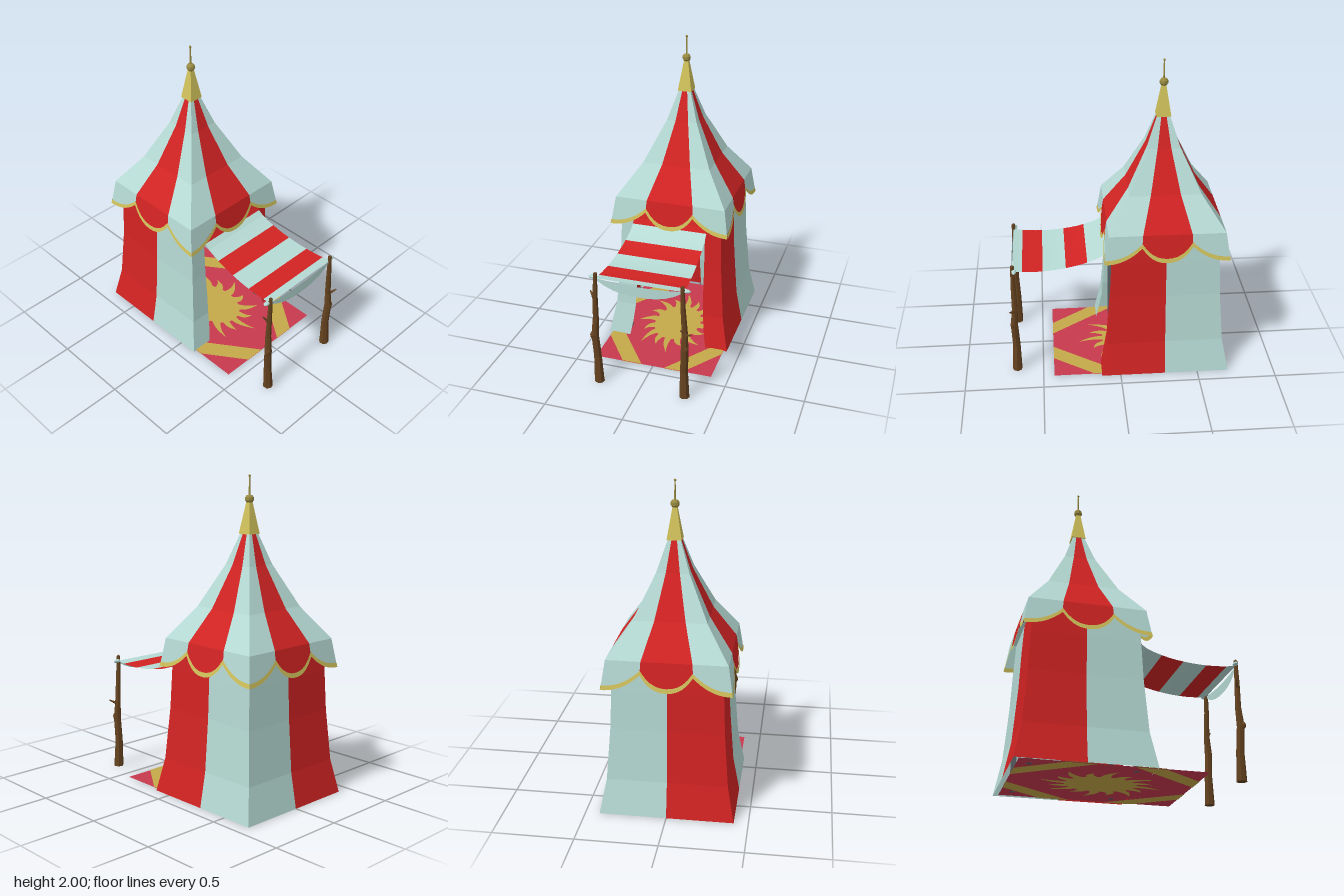
import * as THREE from 'three';
import { mergeGeometries } from 'three/addons/utils/BufferGeometryUtils.js';

const mat = (name, color) => new THREE.MeshStandardMaterial({ name, color, side: THREE.DoubleSide, flatShading: true });

const TENT_Z = -0.29;
const WALL = [[0, 0.412], [0.22, 0.37], [0.55, 0.345], [0.8, 0.335], [0.98, 0.325]];
const ROOF = [[0.82, 0.39], [1.0, 0.362], [1.2, 0.222], [1.46, 0.1], [1.66, 0.034]];
const STRIPE = 0.42; // half width of the centre roof stripe, as a share of the side

// piecewise linear half width at height y
function widthAt(profile, y) {
  for (let i = 1; i < profile.length; i++) {
    const [y0, w0] = profile[i - 1], [y1, w1] = profile[i];
    if (y <= y1) return w0 + (w1 - w0) * (y - y0) / (y1 - y0);
  }
  return profile[profile.length - 1][1];
}

// faceted surface from f(u, v) -> [x, y, z]
function surface(f, nu, nv) {
  const p = [];
  for (let i = 0; i < nu; i++) for (let j = 0; j < nv; j++) {
    const a = f(i / nu, j / nv), b = f((i + 1) / nu, j / nv);
    const c = f((i + 1) / nu, (j + 1) / nv), d = f(i / nu, (j + 1) / nv);
    p.push(...a, ...b, ...c, ...a, ...c, ...d);
  }
  const g = new THREE.BufferGeometry();
  g.setAttribute('position', new THREE.Float32BufferAttribute(p, 3));
  g.computeVertexNormals();
  return g;
}

// lower edge of the valance: one full scallop per stripe, half ones meeting at corners
function scallop(t) {
  const a = Math.abs(t);
  const s = a < STRIPE ? a / STRIPE : (1 - a) / (1 - STRIPE);
  return 0.82 + 0.1 * Math.pow(s, 2.3);
}

export function createModel() {
  const model = new THREE.Group();
  model.name = 'marketTent';
  const red = mat('redCloth', 0xd22323), pale = mat('paleCloth', 0xb6dad4);
  const gold = mat('goldTrim', 0xd2c35c), brass = mat('brass', 0x9a8c42);
  const crimson = mat('rugCrimson', 0xc8394f), rugGold = mat('rugGold', 0xc4a848);
  const wood = mat('bark', 0x65421f), slate = mat('slatePost', 0x5b6468);
  const add = (parent, name, geo, material) => {
    const m = new THREE.Mesh(geo, material);
    m.name = name;
    parent.add(m);
    return m;
  };

  const tent = new THREE.Group();
  tent.name = 'tent';
  tent.position.z = TENT_Z;
  model.add(tent);

  // four sides: walls, roof stripes, valance and trim
  for (let k = 0; k < 4; k++) {
    const side = new THREE.Group();
    side.name = 'tentSide' + (k + 1);
    side.rotation.y = k * Math.PI / 2;
    tent.add(side);

    for (const s of [-1, 1]) {
      const cloth = (s > 0) === (k % 2 === 0) ? red : pale;
      const inner = y => (k === 0 ? 0.23 + 0.035 * Math.pow(Math.max(0, 1 - y / 0.35), 2) : 0);
      for (let i = 1; i < WALL.length; i++) {
        const [y0] = WALL[i - 1], [y1] = WALL[i];
        const f = (u, v) => {
          const y = y0 + (y1 - y0) * v, w = widthAt(WALL, y);
          const x0 = inner(y);
          return [s * (x0 + (w - x0) * u), y, w];
        };
        add(side, 'wallPanel', surface(f, 1, k === 0 ? 2 : 1), cloth);
      }
      // panel above the doorway
      if (k === 0) add(side, 'doorHeader', surface((u, v) => {
        const y = 0.81 + 0.17 * v;
        return [s * 0.23 * u, y, widthAt(WALL, y)];
      }, 1, 1), cloth);
    }

    for (const [t0, t1, cloth] of [[-1, -STRIPE, pale], [-STRIPE, STRIPE, red], [STRIPE, 1, pale]]) {
      const at = (u, y) => {
        const w = widthAt(ROOF, y);
        return [(t0 + (t1 - t0) * u) * w, y, w];
      };
      const n = ROOF.length - 2;
      add(side, 'roofStripe', surface((u, v) => at(u, ROOF[1 + Math.round(v * n)][0]), 1, n), cloth);
      const low = u => scallop(t0 + (t1 - t0) * u);
      add(side, 'valance', surface((u, v) => at(u, low(u) + 0.026 + (1 - low(u) - 0.026) * v), 10, 1), cloth);
      add(side, 'valanceTrim', surface((u, v) => {
        const p = at(u, low(u) + 0.028 * v);
        p[2] += 0.002;
        return p;
      }, 10, 1), gold);
    }
  }

  // finial
  const cap = new THREE.CylinderGeometry(0.012 * Math.SQRT2, 0.045 * Math.SQRT2, 0.2, 4);
  add(tent, 'finialCap', cap.rotateY(Math.PI / 4), gold).position.y = 1.745;
  const knob = [[0, 1.83], [0.018, 1.834], [0.026, 1.846], [0.026, 1.864], [0.018, 1.876], [0, 1.88]];
  add(tent, 'finialKnob', new THREE.LatheGeometry(knob.map(p => new THREE.Vector2(...p)), 8), brass);
  add(tent, 'finialRod', new THREE.CylinderGeometry(0.004, 0.006, 0.13, 6), brass).position.y = 1.93;
  add(tent, 'finialTip', new THREE.SphereGeometry(0.008, 6, 4), brass).position.y = 1.992;

  // inner posts
  for (const x of [-0.3, 0.3]) for (const z of [0.02, -0.6]) {
    add(model, 'innerPost', new THREE.BoxGeometry(0.03, 0.9, 0.03), slate).position.set(x, 0.452, z);
  }

  // awning with crosswise stripes
  const awning = new THREE.Group();
  awning.name = 'awning';
  model.add(awning);
  const sag = new THREE.CatmullRomCurve3([
    [0.93, 0.035], [0.825, 0.075], [0.765, 0.2], [0.735, 0.335], [0.722, 0.48], [0.727, 0.61], [0.737, 0.67],
  ].map(([y, z]) => new THREE.Vector3(0, y, z)));
  for (let i = 0; i < 6; i++) {
    add(awning, 'awningStripe', surface((u, v) => {
      const p = sag.getPoint((i + v) / 6);
      return [(2 * u - 1) * (0.243 + 0.052 * p.z), p.y, p.z];
    }, 1, 3), i % 2 ? pale : red);
  }
  // hanging front edge
  add(awning, 'awningValance', surface((u, v) => {
    const x = 2 * u - 1, drop = 0.075 * (1 - Math.pow(Math.abs(x), 2.6));
    const top = 0.737 - 0.012 * (1 - x * x);
    return [x * 0.277, top + (0.73 - drop - top) * (1 - v), 0.67 + 0.008 * (1 - x * x)];
  }, 10, 1), pale);

  // rough branch poles holding the awning
  const up = new THREE.Vector3(0, 1, 0);
  function pole(name, xs, branches, knot) {
    const g = new THREE.Group();
    g.name = name;
    model.add(g);
    const ys = [0, 0.18, 0.34, 0.46, 0.62, 0.77], rs = [0.032, 0.025, 0.024, 0.019, 0.016, 0.012];
    const zs = [0.67, 0.667, 0.675, 0.667, 0.67, 0.67], n = ys.length - 1;
    add(g, 'trunk', surface((u, v) => {
      const i = Math.round(v * n), a = -u * Math.PI * 2;
      return [xs[i] + rs[i] * Math.cos(a), ys[i], zs[i] + rs[i] * Math.sin(a)];
    }, 7, n), wood);
    add(g, 'trunkTop', new THREE.ConeGeometry(0.012, 0.012, 7), wood).position.set(xs[n], 0.774, 0.67);
    add(g, 'trunkFoot', new THREE.CylinderGeometry(0.032, 0.032, 0.004, 7), wood).position.set(xs[0], 0.002, 0.67);
    for (const [from, to] of branches) {
      const a = new THREE.Vector3(...from), d = new THREE.Vector3(...to).sub(a);
      const b = add(g, 'branchStub', new THREE.CylinderGeometry(0.004, 0.012, d.length(), 5), wood);
      b.position.copy(a).addScaledVector(d, 0.5);
      b.quaternion.setFromUnitVectors(up, d.normalize());
    }
    const bump = add(g, 'barkKnot', new THREE.SphereGeometry(0.017, 6, 4), wood);
    bump.position.set(...knot);
    bump.scale.y = 1.4;
    // cloth tie
    const tie = add(g, 'clothTie', new THREE.SphereGeometry(0.022, 8, 5), pale);
    tie.position.set(xs[n] + Math.sign(xs[n]) * 0.02, 0.74, 0.66);
    tie.scale.set(1.3, 0.55, 0.7);
  }
  pole('rightPole', [-0.27, -0.277, -0.287, -0.282, -0.28, -0.275],
    [[[-0.282, 0.575, 0.67], [-0.318, 0.635, 0.65]]], [-0.3, 0.34, 0.687]);
  pole('leftPole', [0.287, 0.283, 0.288, 0.286, 0.276, 0.272],
    [[[0.285, 0.44, 0.67], [0.334, 0.468, 0.698]], [[0.286, 0.45, 0.67], [0.265, 0.48, 0.685]]], [0.298, 0.35, 0.685]);

  // rug with corner bands and a sun, drawn on a unit square then stretched
  const rug = new THREE.Group();
  rug.name = 'rug';
  rug.position.z = -0.12;
  model.add(rug);
  const lay = g => g.scale(0.39, 0.55, 1).rotateX(-Math.PI / 2);
  add(rug, 'rugCloth', lay(new THREE.PlaneGeometry(2, 2)), crimson).position.y = 0.003;
  const shapes = [];
  for (const sx of [-1, 1]) for (const sy of [-1, 1]) {
    shapes.push(new THREE.Shape([[1, 0.2], [1, 0.53], [0.53, 1], [0.2, 1]].map(([x, y]) => new THREE.Vector2(sx * x, sy * y))));
  }
  shapes.push(new THREE.Shape().absarc(0, 0, 0.4, 0, Math.PI * 2));
  const polar = (r, a) => [r * Math.cos(a), r * Math.sin(a)];
  for (let i = 0; i < 16; i++) {
    const a = i * Math.PI / 8, tip = i % 2 ? 0.58 : 0.7;
    const ray = new THREE.Shape().moveTo(...polar(0.38, a - 0.15));
    ray.quadraticCurveTo(...polar(0.52, a - 0.15), ...polar(tip, a + 0.13));
    ray.quadraticCurveTo(...polar(0.52, a + 0.03), ...polar(0.38, a + 0.15));
    shapes.push(ray);
  }
  const pattern = lay(mergeGeometries(shapes.map(s => new THREE.ShapeGeometry(s, 10))));
  for (const y of [0, 0.006]) add(rug, 'rugPattern', pattern, rugGold).position.y = y;

  return model;
}
